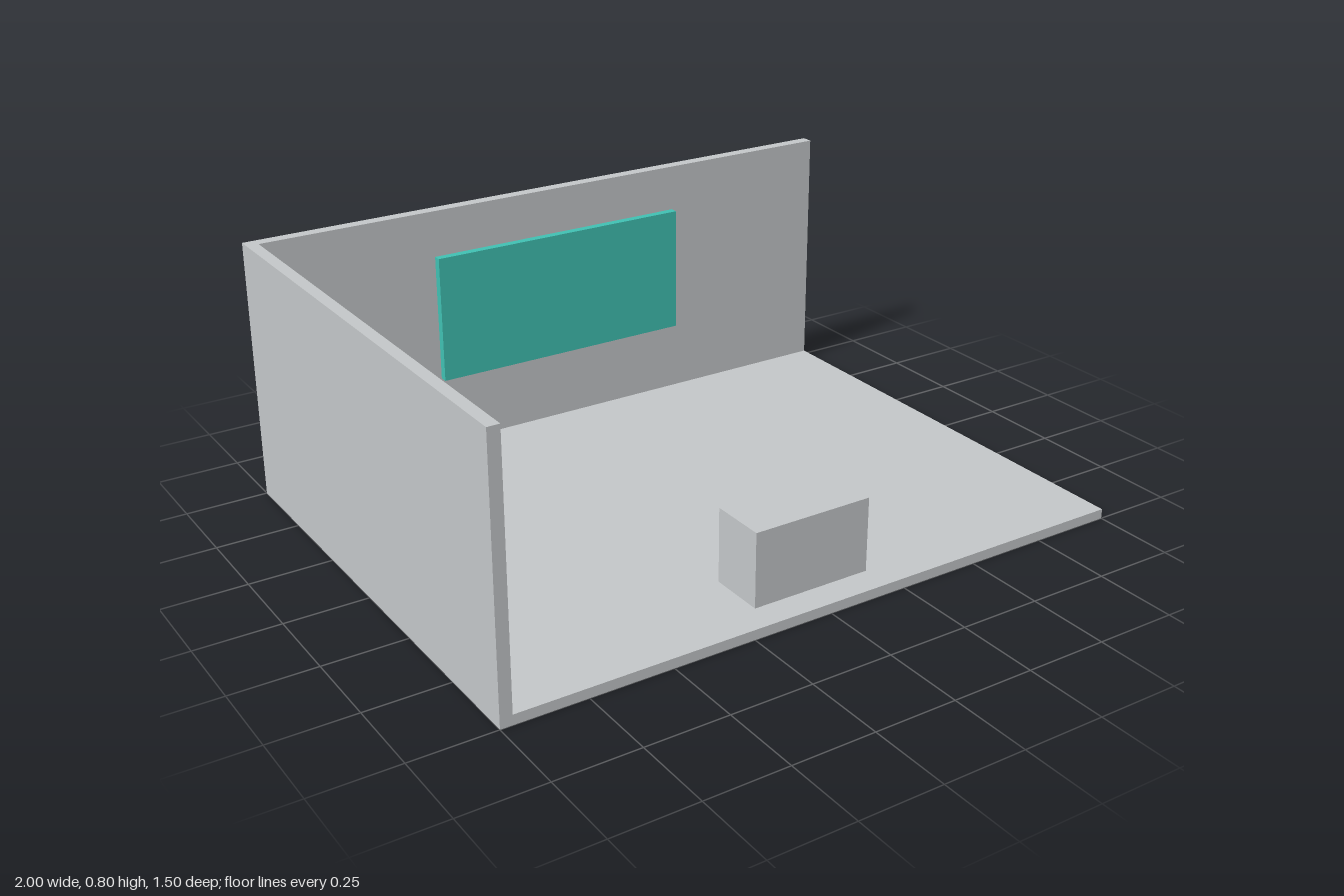
import * as THREE from 'three';

export function createModel() {
  const group = new THREE.Group();
  const grey = new THREE.MeshStandardMaterial({ color: 0xc3c6c8 });
  grey.name = 'pale grey';
  const teal = new THREE.MeshStandardMaterial({ color: 0x40c0b2 });
  teal.name = 'teal';
  const dark = new THREE.MeshStandardMaterial({ color: 0x4a545c });
  dark.name = 'dark slate';

  // Box given by its minimum and maximum corners
  const box = (name, material, [x0, y0, z0], [x1, y1, z1]) => {
    const mesh = new THREE.Mesh(new THREE.BoxGeometry(x1 - x0, y1 - y0, z1 - z0), material);
    mesh.position.set((x0 + x1) / 2, (y0 + y1) / 2, (z0 + z1) / 2);
    mesh.name = name;
    group.add(mesh);
  };

  const floorTop = 0.03, wall = 0.036, height = 0.8;

  // Room shell: floor with two walls standing on it
  box('floor', grey, [-1, 0, -0.75], [1, floorTop, 0.75]);
  box('backWall', grey, [-1, floorTop, -0.75], [1, height, -0.75 + wall]);
  box('sideWall', grey, [-1, floorTop, -0.75 + wall], [-1 + wall, height, 0.75]);

  // Wall screen with a smaller backing plate
  box('screen', teal, [-0.426, 0.265, -0.692], [0.426, 0.664, -0.667]);
  box('screenBacking', dark, [-0.409, 0.285, -0.705], [0.409, 0.642, -0.692]);

  // Block near the open front edge
  box('bench', grey, [-0.187, floorTop, 0.488], [0.187, 0.256, 0.66]);

  return group;
}
